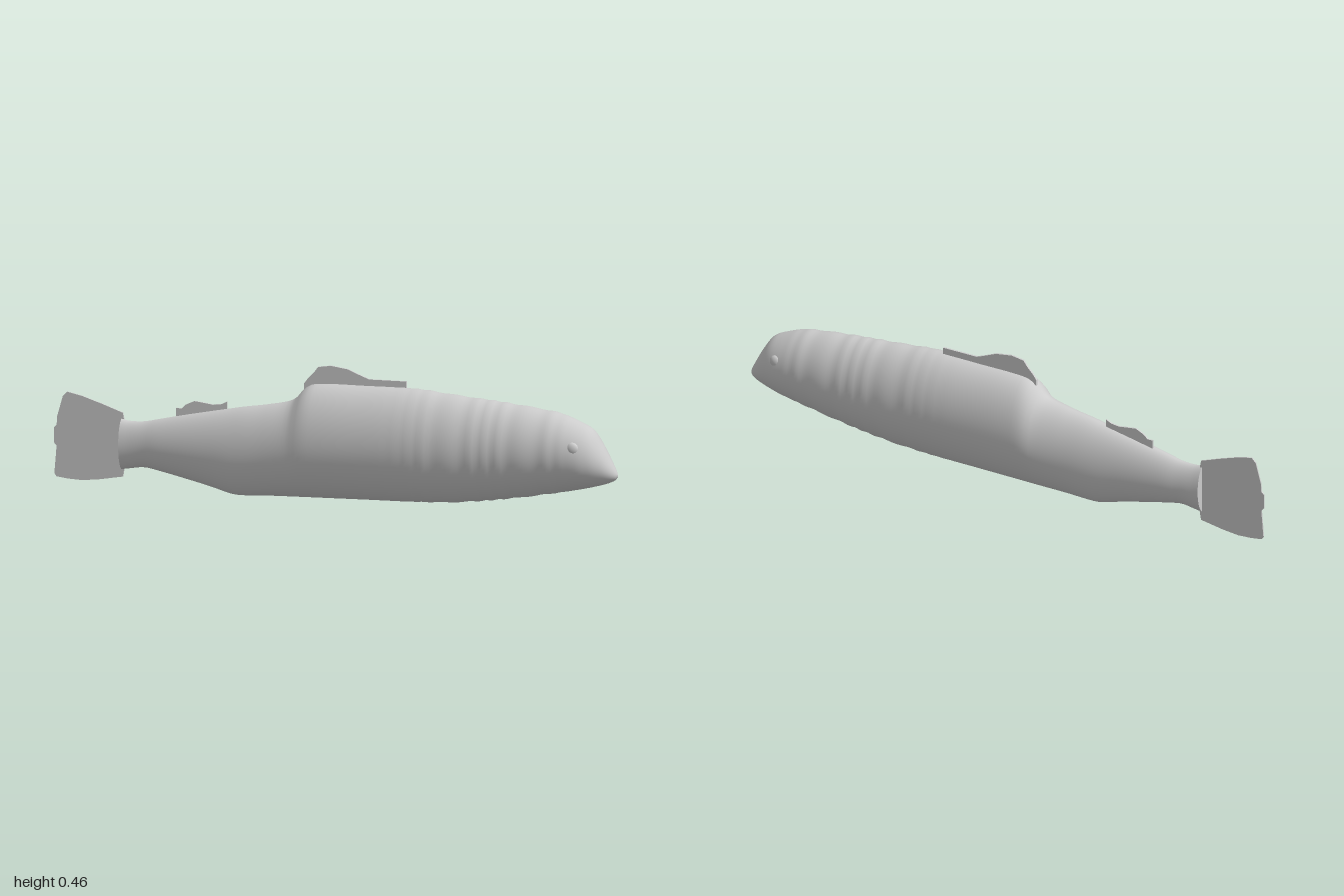
import * as THREE from 'three';

const skin = new THREE.MeshStandardMaterial({ color: 0xcccccc });
skin.name = 'pale grey';

// Body stations along the length: x, belly y, back y, half width
const STATIONS = [
  [-0.76, 0.066, 0.237, 0.036], [-0.73, 0.071, 0.232, 0.035], [-0.68, 0.078, 0.234, 0.037],
  [-0.63, 0.07, 0.245, 0.043], [-0.55, 0.053, 0.263, 0.051], [-0.45, 0.03, 0.284, 0.061],
  [-0.37, 0.009, 0.3, 0.07], [-0.33, 0.007, 0.308, 0.074], [-0.24, 0.012, 0.323, 0.083],
  [-0.15, 0.015, 0.347, 0.095], [-0.115, 0.016, 0.385, 0.102], [-0.08, 0.017, 0.402, 0.105],
  [0.1, 0.022, 0.408, 0.107], [0.28, 0.027, 0.41, 0.109], [0.42, 0.036, 0.398, 0.106],
  [0.55, 0.052, 0.389, 0.103], [0.68, 0.074, 0.376, 0.099], [0.78, 0.093, 0.363, 0.094],
  [0.86, 0.11, 0.335, 0.085], [0.9, 0.12, 0.312, 0.071], [0.935, 0.13, 0.262, 0.05],
  [0.96, 0.139, 0.218, 0.032], [0.978, 0.149, 0.185, 0.015], [0.986, 0.16, 0.168, 0.003],
];

function lerpStations(x) {
  let k = 0;
  while (k < STATIONS.length - 2 && STATIONS[k + 1][0] < x) k++;
  const a = STATIONS[k], b = STATIONS[k + 1];
  const t = (x - a[0]) / (b[0] - a[0]);
  // Cubic interpolation with slopes taken from the neighbouring stations
  const p = STATIONS[Math.max(k - 1, 0)], n = STATIONS[Math.min(k + 2, STATIONS.length - 1)];
  return [1, 2, 3].map((c) => {
    const ma = (b[c] - p[c]) / (b[0] - p[0]) * (b[0] - a[0]);
    const mb = (n[c] - a[c]) / (n[0] - a[0]) * (b[0] - a[0]);
    const t2 = t * t, t3 = t2 * t;
    return (2 * t3 - 3 * t2 + 1) * a[c] + (t3 - 2 * t2 + t) * ma + (3 * t2 - 2 * t3) * b[c] + (t3 - t2) * mb;
  });
}

// Lens-shaped rings lofted from tail root to snout
function bodyGeometry() {
  const rings = 150, sides = 64, pos = [], idx = [];
  const x0 = STATIONS[0][0], x1 = STATIONS[STATIONS.length - 1][0];
  for (let i = 0; i <= rings; i++) {
    const x = x0 + (x1 - x0) * Math.sin((i / rings) * Math.PI / 2) ** 1.15;
    const [lo, hi, w] = lerpStations(x);
    // Faint skin folds around the front half
    const fold = 0.0016 * Math.sin(x * 95 + 2 * Math.sin(x * 23)) *
      THREE.MathUtils.smoothstep(x, 0.15, 0.4) * (1 - THREE.MathUtils.smoothstep(x, 0.72, 0.85));
    const cy = (lo + hi) / 2, h = (hi - lo) / 2 + fold;
    for (let j = 0; j < sides; j++) {
      const a = (j / sides) * Math.PI * 2, s = Math.sin(a), c = Math.cos(a);
      const power = c > 0 ? 1.12 : 1.25;
      pos.push(x, cy + h * c, Math.max(w + fold, 0.002) * Math.sign(s) * Math.abs(s) ** power);
    }
  }
  for (let i = 0; i < rings; i++) for (let j = 0; j < sides; j++) {
    const k = (j + 1) % sides;
    const a = i * sides + j, b = i * sides + k, c = a + sides, d = b + sides;
    idx.push(a, b, c, b, d, c);
  }
  // Flat cap at the tail root, with its own vertices to keep the rim sharp
  const rim = pos.length / 3;
  pos.push(...pos.slice(0, sides * 3));
  for (let j = 1; j < sides - 1; j++) idx.push(rim, rim + j + 1, rim + j);
  // Snout tip
  const last = rings * sides;
  for (let j = 1; j < sides - 1; j++) idx.push(last, last + j, last + j + 1);
  const g = new THREE.BufferGeometry();
  g.setAttribute('position', new THREE.Float32BufferAttribute(pos, 3));
  g.setIndex(idx);
  g.computeVertexNormals();
  return g;
}

function addPart(group, name, geometry) {
  const mesh = new THREE.Mesh(geometry, skin);
  mesh.name = name;
  group.add(mesh);
  return mesh;
}

// Thin upright plate from an outline in the xy plane
function finGeometry(points, thickness, z) {
  const shape = new THREE.Shape(points.map(([x, y]) => new THREE.Vector2(x, y)));
  const g = new THREE.ExtrudeGeometry(shape, { depth: thickness, bevelEnabled: false });
  return g.translate(0, 0, z - thickness / 2);
}

export function createModel() {
  const fish = new THREE.Group();
  fish.name = 'fish';
  addPart(fish, 'body', bodyGeometry());

  addPart(fish, 'tailFin', finGeometry([
    [-0.75, 0.08], [-0.757, 0.04], [-0.84, 0.025], [-0.9, 0.018], [-0.95, 0.02], [-0.99, 0.025],
    [-0.998, 0.035], [-0.99, 0.13], [-1, 0.14], [-1, 0.19], [-0.99, 0.2], [-0.988, 0.23],
    [-0.968, 0.3], [-0.953, 0.315], [-0.9, 0.304], [-0.83, 0.282], [-0.757, 0.257], [-0.75, 0.22],
  ], 0.005, -0.006));

  addPart(fish, 'dorsalFin', finGeometry([
    [-0.12, 0.37], [0.24, 0.395], [0.24, 0.432], [0.11, 0.43], [0.075, 0.443], [0.035, 0.459],
    [-0.025, 0.467], [-0.07, 0.46], [-0.085, 0.44], [-0.105, 0.42], [-0.12, 0.4],
  ], 0.007, -0.006));

  addPart(fish, 'adiposeFin', finGeometry([
    [-0.57, 0.245], [-0.39, 0.28], [-0.39, 0.32], [-0.41, 0.31], [-0.44, 0.306], [-0.47, 0.31],
    [-0.505, 0.314], [-0.535, 0.3], [-0.55, 0.286], [-0.57, 0.286],
  ], 0.006, -0.006));

  // Slightly bulging eyes
  for (const side of [1, -1]) {
    const eye = addPart(fish, side > 0 ? 'rightEye' : 'leftEye', new THREE.SphereGeometry(0.022, 24, 16));
    eye.position.set(0.85, 0.26, side * 0.073);
    eye.scale.z = 0.6;
  }
  return fish;
}
